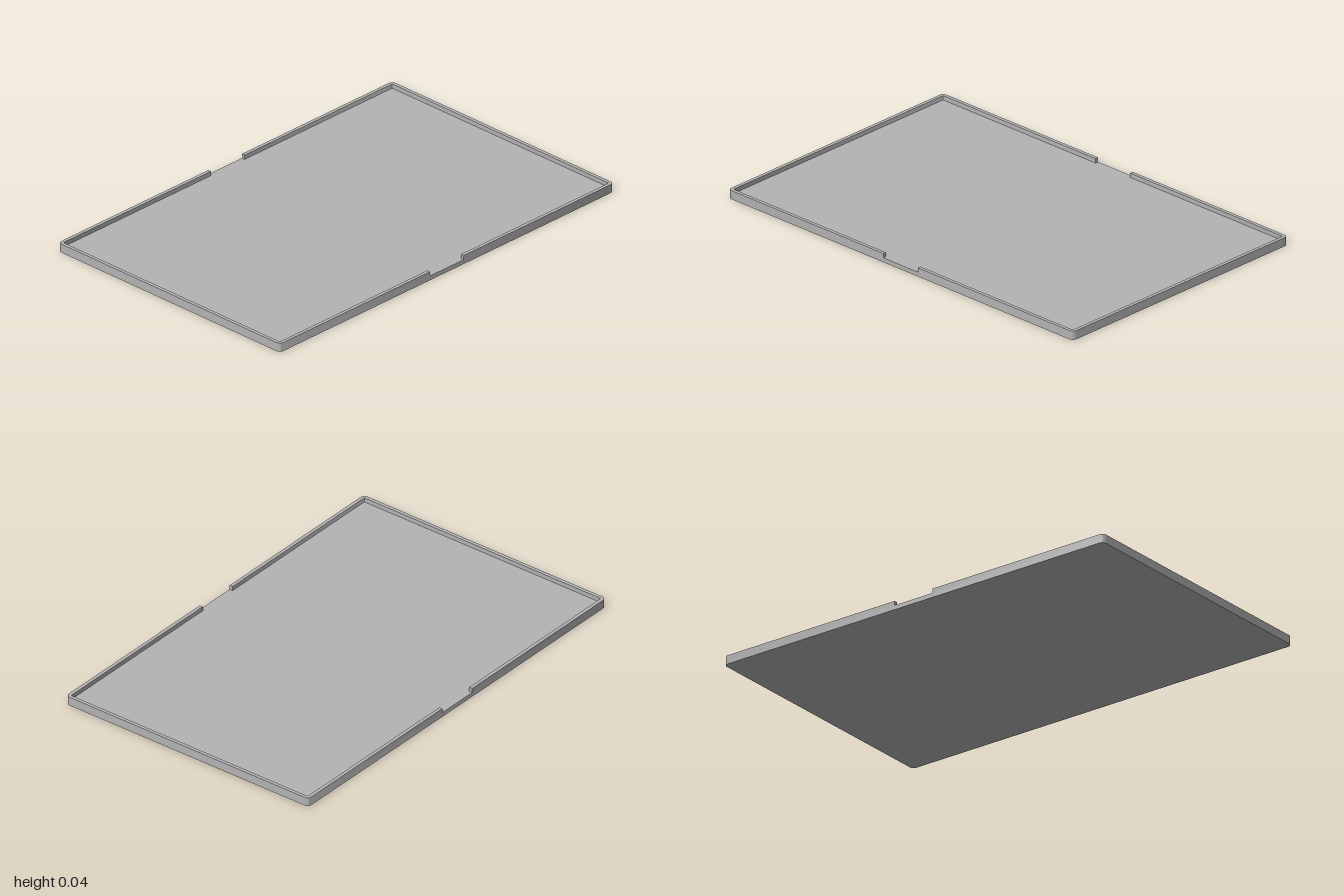
import * as THREE from 'three';
import { toCreasedNormals } from 'three/addons/utils/BufferGeometryUtils.js';

const W = 0.647, L = 1;        // half width and half length
const R = 0.02, T = 0.016;     // corner radius and rim thickness
const FLOOR = 0.02, HEIGHT = 0.04;
const NOTCH = 0.1;             // half length of the side openings

// Extrude a plan outline upwards from the given height
function slab(shape, y, height) {
  const geometry = new THREE.ExtrudeGeometry(shape, {
    depth: height, bevelEnabled: false, curveSegments: 8,
  });
  geometry.rotateX(-Math.PI / 2).translate(0, y, 0);
  return toCreasedNormals(geometry, 0.6);
}

// Rounded rectangular floor plate
function floorShape() {
  const s = new THREE.Shape();
  s.moveTo(W, -L + R);
  s.lineTo(W, L - R);
  s.absarc(W - R, L - R, R, 0, Math.PI / 2);
  s.absarc(-W + R, L - R, R, Math.PI / 2, Math.PI);
  s.absarc(-W + R, -L + R, R, Math.PI, Math.PI * 1.5);
  s.absarc(W - R, -L + R, R, Math.PI * 1.5, Math.PI * 2);
  return s;
}

// U-shaped rim around one end, stopping at the side openings
function rimShape() {
  const r = R - T;
  const s = new THREE.Shape();
  s.moveTo(W, NOTCH);
  s.lineTo(W, L - R);
  s.absarc(W - R, L - R, R, 0, Math.PI / 2);
  s.absarc(-W + R, L - R, R, Math.PI / 2, Math.PI);
  s.lineTo(-W, NOTCH);
  s.lineTo(-W + T, NOTCH);
  s.absarc(-W + R, L - R, r, Math.PI, Math.PI / 2, true);
  s.absarc(W - R, L - R, r, Math.PI / 2, 0, true);
  s.lineTo(W - T, NOTCH);
  return s;
}

export function createModel() {
  const model = new THREE.Group();
  model.name = 'tray';
  const grey = new THREE.MeshStandardMaterial({ color: 0xb3b3b3 });
  grey.name = 'grey';

  const floor = new THREE.Mesh(slab(floorShape(), 0, FLOOR), grey);
  floor.name = 'floor';
  model.add(floor);

  // Matching rims at the back and front
  const rimGeometry = slab(rimShape(), FLOOR, HEIGHT - FLOOR);
  ['backRim', 'frontRim'].forEach((name, i) => {
    const rim = new THREE.Mesh(rimGeometry, grey);
    rim.name = name;
    rim.rotation.y = i * Math.PI;
    model.add(rim);
  });
  return model;
}
